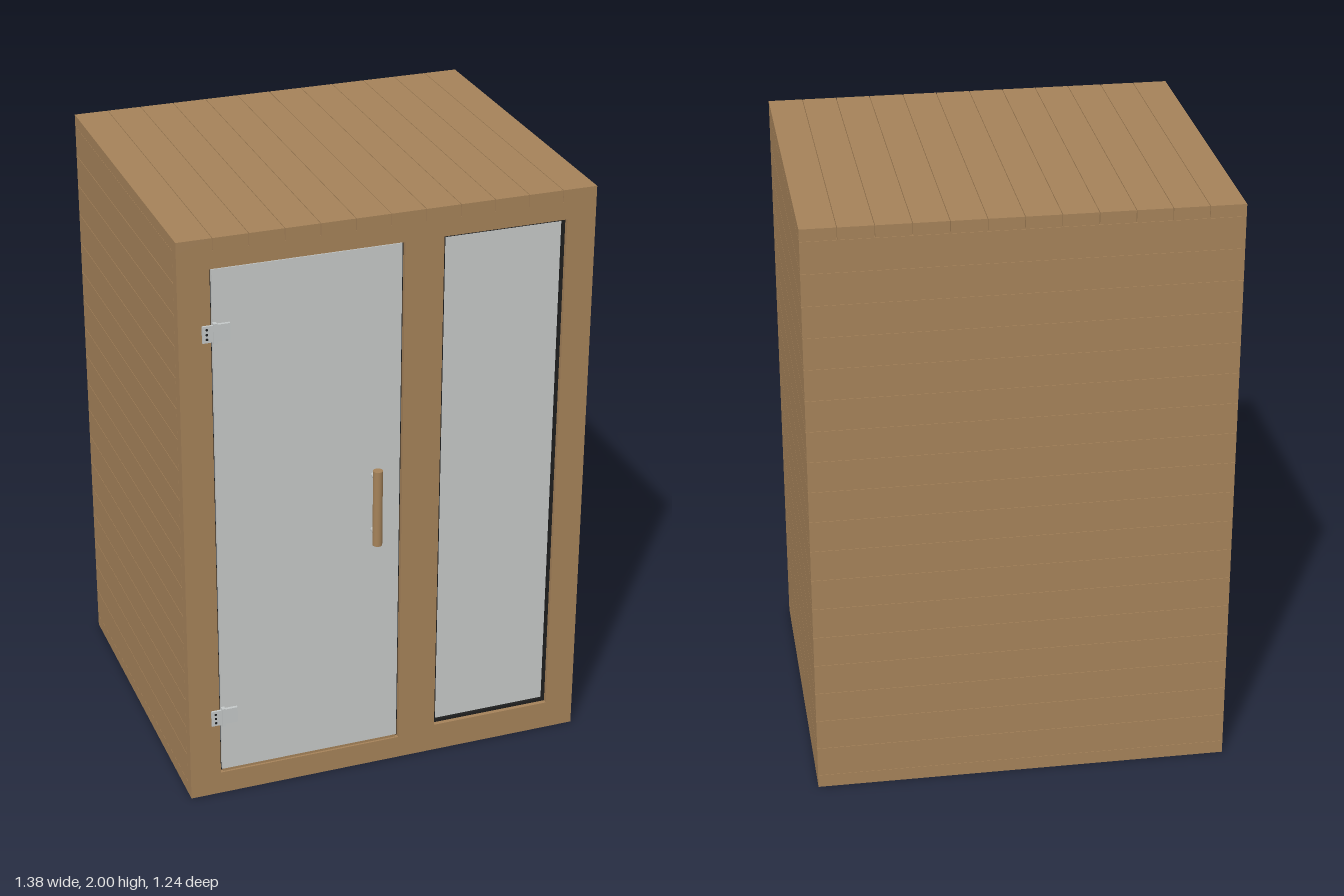
import * as THREE from 'three';

const material = (name, color) => {
  const m = new THREE.MeshStandardMaterial({ color });
  m.name = name;
  return m;
};

export function createModel() {
  const wood = material('wood', 0xa58259);
  const glass = material('glass', 0xc6c9c8);
  const black = material('black seal', 0x1e1e1e);
  const metal = material('brushed metal', 0xc4c8c8);

  const cabin = new THREE.Group();
  cabin.name = 'saunaCabin';

  // Box given by its limits along each axis
  const box = (name, mat, [x0, x1], [y0, y1], [z0, z1], parent = cabin) => {
    const mesh = new THREE.Mesh(new THREE.BoxGeometry(x1 - x0, y1 - y0, z1 - z0), mat);
    mesh.position.set((x0 + x1) / 2, (y0 + y1) / 2, (z0 + z1) / 2);
    mesh.name = name;
    parent.add(mesh);
    return mesh;
  };
  const cylinder = (name, mat, radius, length, x, y, z, alongZ, parent) => {
    const mesh = new THREE.Mesh(new THREE.CylinderGeometry(radius, radius, length, 24), mat);
    if (alongZ) mesh.rotation.x = Math.PI / 2;
    mesh.position.set(x, y, z);
    mesh.name = name;
    parent.add(mesh);
  };

  const W = 0.69, back = -0.62, front = 0.565, frameBack = 0.525;
  const base = 0.045, roofY = 1.96, headY = 1.9, gap = 0.001;

  // Floor slab and inner body behind the boards
  box('floor', wood, [-W, W], [0, base], [back, front]);
  box('innerBody', wood, [-W + 0.002, W - 0.002], [base, roofY], [back + 0.002, frameBack - 0.005]);

  // Horizontal wall boards
  const rows = 18, pitch = (roofY - base) / rows;
  for (let i = 0; i < rows; i++) {
    const y = [base + i * pitch + gap, base + (i + 1) * pitch - gap];
    for (const s of [-1, 1]) {
      const x = s > 0 ? [W - 0.03, W] : [-W, -W + 0.03];
      box(s > 0 ? 'leftWallBoard' : 'rightWallBoard', wood, x, y, [back + 0.03, frameBack - gap]);
    }
    box('backWallBoard', wood, [-W, W], y, [back, back + 0.03]);
  }

  // Roof boards run from front to back
  const roofPitch = (2 * W) / 12;
  for (let i = 0; i < 12; i++) {
    const x0 = -W + i * roofPitch;
    box('roofBoard', wood, [x0 + (i ? gap : 0), x0 + roofPitch - (i < 11 ? gap : 0)], [roofY, 2], [back, front]);
  }

  // Front frame: header, three posts and the rails between them
  const frameZ = [frameBack, front];
  box('header', wood, [-W, W], [headY, roofY], frameZ);
  for (const x of [[-W, -0.586], [0.046, 0.176], [0.592, W]]) {
    box('frontPost', wood, x, [base, headY], frameZ);
  }
  box('doorSill', wood, [-0.586, 0.046], [base, 0.08], frameZ);
  box('windowSill', wood, [0.176, 0.592], [base, 0.1], frameZ);

  // Glass door with a dark seal showing around its edge
  box('doorSeal', black, [-0.586, 0.046], [0.08, headY], [0.52, 0.548]);
  box('doorGlass', glass, [-0.579, 0.039], [0.09, 1.896], [0.545, 0.56]);
  box('doorThreshold', wood, [-0.575, 0.036], [0.08, 0.09], [0.54, 0.558]);

  // Fixed window: black surround and recessed pane
  for (const x of [[0.176, 0.185], [0.583, 0.592]]) {
    box('windowFrameSide', black, x, [0.1, headY], [0.52, 0.55]);
  }
  for (const y of [[0.1, 0.11], [1.891, headY]]) {
    box('windowFrameRail', black, [0.185, 0.583], y, [0.52, 0.55]);
  }
  box('windowGlass', glass, [0.185, 0.583], [0.11, 1.891], [0.52, 0.54]);

  // Round wooden handle on two metal standoffs
  const handle = new THREE.Group();
  handle.name = 'doorHandle';
  cabin.add(handle);
  cylinder('handleBar', wood, 0.016, 0.27, -0.052, 1.005, 0.604, false, handle);
  for (const y of [0.905, 1.105]) {
    cylinder('handleStandoff', metal, 0.008, 0.04, -0.052, y, 0.578, true, handle);
  }

  // Hinges: post plate, knuckle, glass clamp and screws
  for (const y of [0.3, 1.688]) {
    const hinge = new THREE.Group();
    hinge.name = 'doorHinge';
    cabin.add(hinge);
    box('hingePlate', metal, [-0.615, -0.578], [y - 0.028, y + 0.028], [front, 0.572], hinge);
    box('hingeKnuckle', metal, [-0.58, -0.568], [y - 0.034, y + 0.034], [0.558, 0.576], hinge);
    box('hingeClamp', metal, [-0.568, -0.525], [y - 0.028, y + 0.028], [0.558, 0.57], hinge);
    for (const dy of [-0.016, 0, 0.016]) {
      cylinder('hingeScrew', black, 0.004, 0.003, -0.601, y + dy, 0.572, true, hinge);
    }
  }

  return cabin;
}
